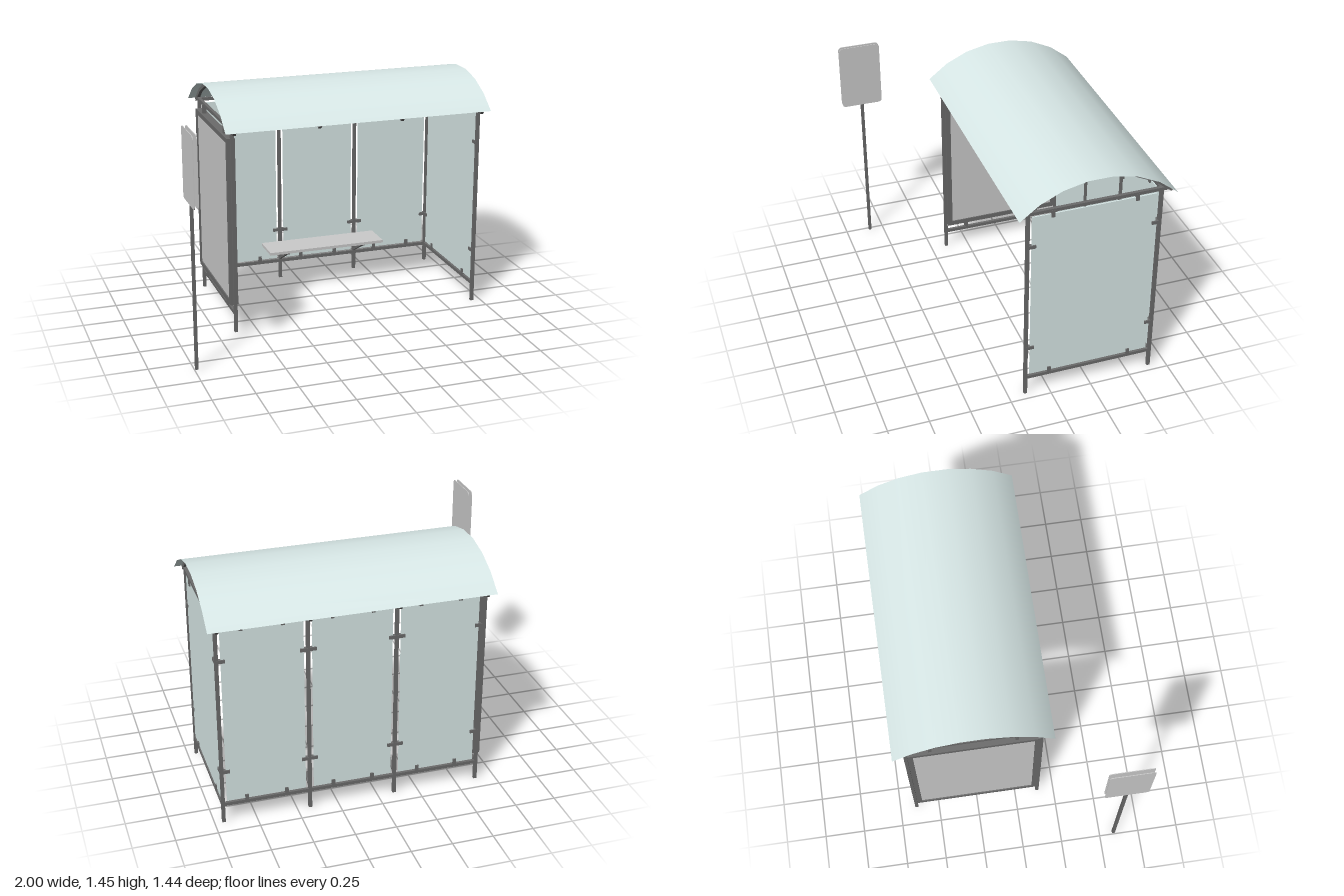
import * as THREE from 'three';

const metal = new THREE.MeshStandardMaterial({ color: 0x6b6b6b });
const grey = new THREE.MeshStandardMaterial({ color: 0xcccccc });
const glass = new THREE.MeshStandardMaterial({ color: 0xd9e9e8 });
const roofGlass = new THREE.MeshStandardMaterial({ color: 0xd9e9e8, side: THREE.DoubleSide });

const POSTS = [-0.63, -0.105, 0.42, 0.945];
const BACK = -0.645, FRONT = 0.145, MID = -0.2525;
const BAR = 0.02, LOW = 0.12, HIGH = 1.275;

export function createModel() {
  const model = new THREE.Group();

  const add = (name, geometry, material, parent = model) => {
    const mesh = new THREE.Mesh(geometry, material);
    mesh.name = name;
    parent.add(mesh);
    return mesh;
  };
  // Box given by its extents along each axis
  const box = (name, [x0, x1], [y0, y1], [z0, z1], material = metal, parent = model) => {
    const mesh = add(name, new THREE.BoxGeometry(x1 - x0, y1 - y0, z1 - z0), material, parent);
    mesh.position.set((x0 + x1) / 2, (y0 + y1) / 2, (z0 + z1) / 2);
    return mesh;
  };
  const around = (c, size = BAR) => [c - size / 2, c + size / 2];

  // Posts and rails
  for (const x of POSTS) box('backPost', around(x), [0, HIGH], around(BACK));
  for (const y of [LOW, HIGH]) box('backRail', [POSTS[0], POSTS[3]], around(y), around(BACK, 0.018));
  for (const x of [POSTS[0], POSTS[3]]) {
    box('frontPost', around(x), [0, HIGH], around(FRONT));
    box('sideRail', around(x, 0.018), around(LOW), [BACK, FRONT]);
  }

  // Glass wall in its own plane: u runs along the wall between two posts
  const glassWall = (name, length) => {
    const wall = new THREE.Group();
    wall.name = name;
    const h = length / 2;
    box('glassPane', [-h + 0.025, h - 0.025], [0.14, 1.25], around(0, 0.008), glass, wall);
    const off = length > 0.6 ? 0.25 : 0.12;
    for (const s of [-1, 1]) {
      for (const y of [LOW, HIGH - 0.045])
        box('clip', around(s * off), [y, y + 0.045], around(0, 0.024), metal, wall);
      for (const y of [0.34, 1.055])
        box('clip', around(s * (h - 0.024), 0.048), around(y), around(0, 0.024), metal, wall);
    }
    model.add(wall);
    return wall;
  };
  for (let i = 0; i < 3; i++)
    glassWall('backWall', POSTS[i + 1] - POSTS[i]).position.set((POSTS[i] + POSTS[i + 1]) / 2, 0, BACK);
  const side = glassWall('leftWall', FRONT - BACK);
  side.position.set(POSTS[3], 0, MID + 0.0025);
  side.rotation.y = Math.PI / 2;

  // Display case on the right side: deep frame with an inset panel
  const rect = (shape, w, y0, y1) =>
    shape.moveTo(-w, y0).lineTo(w, y0).lineTo(w, y1).lineTo(-w, y1).closePath();
  const frame = rect(new THREE.Shape(), 0.3825, 0.17, 1.22);
  frame.holes.push(rect(new THREE.Path(), 0.3525, 0.2, 1.19));
  const display = new THREE.Group();
  display.name = 'displayCase';
  const frameGeo = new THREE.ExtrudeGeometry(frame, { depth: 0.05, bevelEnabled: false });
  add('displayFrame', frameGeo, metal, display).position.z = -0.025;
  box('displayPanel', [-0.354, 0.354], [0.198, 1.192], around(0, 0.036), grey, display);
  for (const u of [-0.25, 0.25])
    for (const y of [[LOW, 0.172], [1.218, HIGH]]) box('displayMount', around(u), y, around(0, 0.024), metal, display);
  display.position.set(-0.634, 0, MID + 0.003);
  display.rotation.y = Math.PI / 2;
  model.add(display);

  // Roof: segmented arch ribs, tie beams and a thin curved sheet
  const R = 0.67, HALF = 0.767, CY = 0.787, SEG = 7;
  const arc = (r) => Array.from({ length: SEG + 1 }, (_, i) => {
    const a = -HALF + (2 * HALF * i) / SEG;
    return new THREE.Vector2(r * Math.sin(a), r * Math.cos(a));
  });
  const ribShape = new THREE.Shape([...arc(R - 0.002), ...arc(R - 0.024).reverse()]);
  const ribGeo = new THREE.ExtrudeGeometry(ribShape, { depth: BAR, bevelEnabled: false });
  ribGeo.translate(0, 0, -BAR / 2).rotateY(Math.PI / 2);
  for (const x of POSTS) {
    add('roofRib', ribGeo, metal).position.set(x, CY, MID);
    box('roofTie', around(x), around(HIGH), [MID - 0.435, MID + 0.435]);
  }
  const sheetGeo = new THREE.CylinderGeometry(R, R, 1.685, SEG, 1, true, -HALF, 2 * HALF);
  sheetGeo.rotateX(-Math.PI / 2).rotateZ(Math.PI);
  sheetGeo.rotateY(Math.PI / 2);
  // Keep the crown of the arc upward
  sheetGeo.computeBoundingBox();
  if (sheetGeo.boundingBox.max.y < 0) sheetGeo.rotateX(Math.PI);
  add('roofSheet', sheetGeo, roofGlass).position.set(0.1575, CY, MID);

  // Bench with diagonal brackets
  box('benchSeat', [-0.235, 0.55], [0.242, 0.26], [-0.635, -0.43], grey);
  for (const x of [POSTS[1], POSTS[2]]) {
    box('benchArm', around(x, 0.016), [0.228, 0.242], [BACK, -0.45]);
    const dz = 0.175, dy = 0.095;
    const brace = add('benchBrace', new THREE.BoxGeometry(0.016, 0.014, Math.hypot(dz, dy)), metal);
    brace.position.set(x, 0.14 + dy / 2, BACK + 0.005 + dz / 2);
    brace.rotation.x = -Math.atan2(dy, dz);
  }

  // Stop sign: pole between two thin rounded plates
  box('signPole', around(-0.986, 0.018), [0, 1.27], around(0.59, 0.018));
  const w = 0.13, h = 0.21, r = 0.022;
  const plate = new THREE.Shape();
  plate.absarc(w - r, h - r, r, 0, Math.PI / 2);
  plate.absarc(-w + r, h - r, r, Math.PI / 2, Math.PI);
  plate.absarc(-w + r, -h + r, r, Math.PI, Math.PI * 1.5);
  plate.absarc(w - r, -h + r, r, Math.PI * 1.5, Math.PI * 2);
  const plateGeo = new THREE.ExtrudeGeometry(plate, { depth: 0.004, bevelEnabled: false, curveSegments: 5 });
  plateGeo.rotateY(Math.PI / 2);
  for (const x of [-1, -0.977]) add('signPlate', plateGeo, grey).position.set(x, 1.21, 0.59);

  return model;
}
